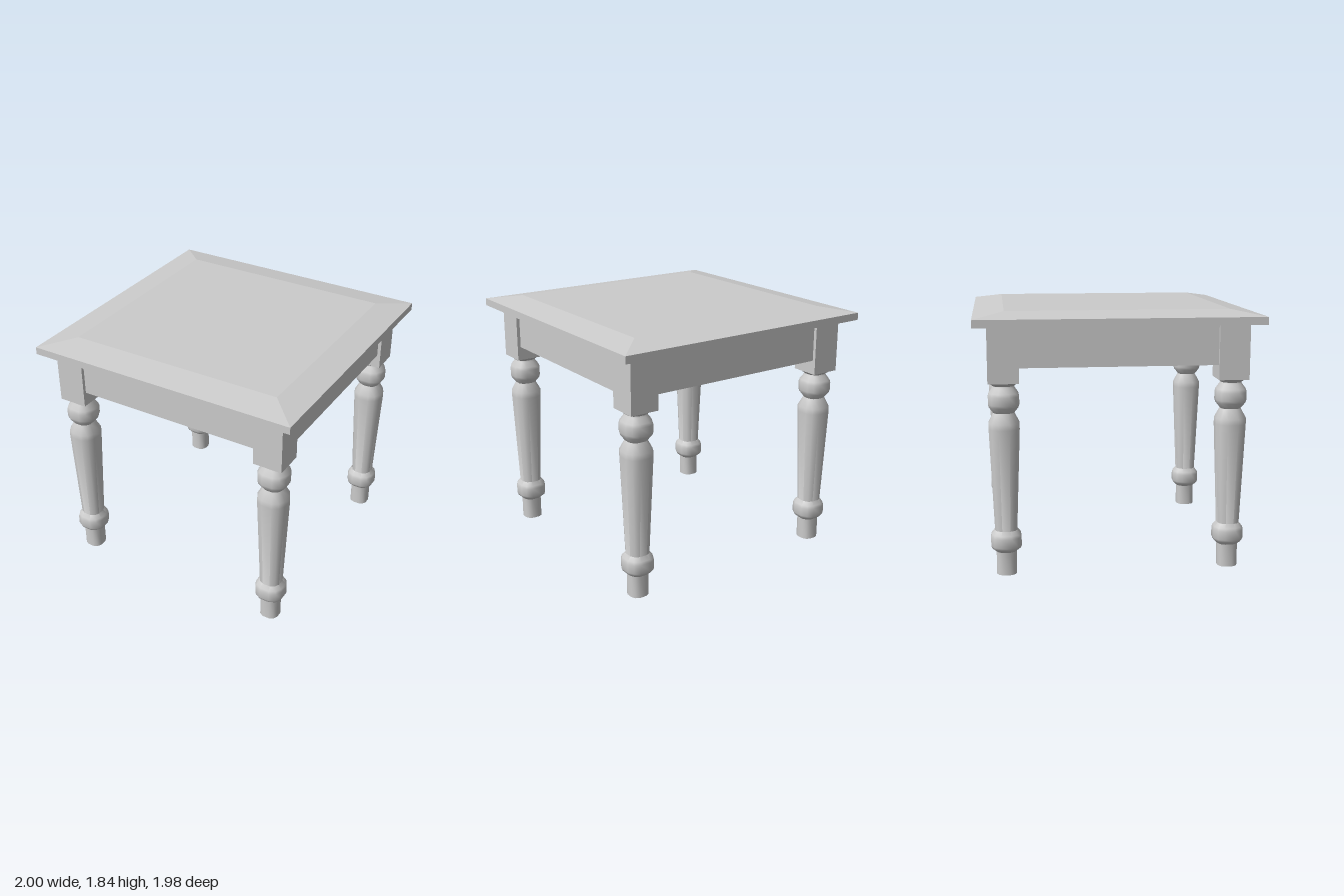
import * as THREE from 'three';
import { toCreasedNormals } from 'three/addons/utils/BufferGeometryUtils.js';

const material = new THREE.MeshStandardMaterial({ color: 0xcccccc });
const openMaterial = new THREE.MeshStandardMaterial({ color: 0xcccccc, side: THREE.DoubleSide });

const LEG_X = 0.796, LEG_Z = 0.789, BLOCK = 0.212;
const BLOCK_BOTTOM = 1.36, APRON_BOTTOM = 1.462, SLAB_BOTTOM = 1.747, SLAB_TOP = 1.8, TOP = 1.838;

function box(name, w, h, d, x, y, z) {
  const mesh = new THREE.Mesh(new THREE.BoxGeometry(w, h, d), material);
  mesh.name = name;
  mesh.position.set(x, y, z);
  return mesh;
}

// Box whose top face is drawn in, giving a sloped border
function bevelTop() {
  const geo = new THREE.BoxGeometry(2, TOP - SLAB_TOP, 1.98).toNonIndexed();
  const p = geo.attributes.position;
  for (let i = 0; i < p.count; i++) {
    if (p.getY(i) > 0) p.setXYZ(i, Math.sign(p.getX(i)) * 0.79, p.getY(i), Math.sign(p.getZ(i)) * 0.775);
  }
  geo.computeVertexNormals();
  const mesh = new THREE.Mesh(geo, material);
  mesh.name = 'bevelledTop';
  mesh.position.y = (TOP + SLAB_TOP) / 2;
  return mesh;
}

// Leg profile as [half width, height], foot upwards
const profile = [
  [0.07, 0], [0.07, 0.165],
  [0.099, 0.19], [0.106, 0.208], [0.106, 0.27], [0.1, 0.292], [0.077, 0.32],
  [0.106, 1.04], [0.105, 1.08], [0.07, 1.15],
  [0.1, 1.19], [0.106, 1.21], [0.106, 1.265], [0.1, 1.287], [0.074, 1.325], [0.07, 1.335],
  [0.104, BLOCK_BOTTOM],
].map(([r, y]) => new THREE.Vector2(r, y));

// Turned with a twelve-sided, slightly squared section
function turnedGeometry() {
  const section = [];
  let quarter = [[0.36, 1], [0.78, 0.78], [1, 0.36]];
  for (let q = 0; q < 4; q++) {
    section.push(...quarter);
    quarter = quarter.map(([x, z]) => [z, -x]);
  }
  const geo = new THREE.LatheGeometry(profile, 12);
  const p = geo.attributes.position;
  for (let i = 0; i < p.count; i++) {
    const { x: r, y } = profile[i % profile.length];
    const [sx, sz] = section[Math.floor(i / profile.length) % 12];
    p.setXYZ(i, r * sx, y, r * sz);
  }
  return toCreasedNormals(geo, 0.75);
}

function leg(geometry, x, z) {
  const group = new THREE.Group();
  group.name = 'leg';
  const turned = new THREE.Mesh(geometry, openMaterial);
  turned.name = 'turnedLeg';
  const h = SLAB_BOTTOM - BLOCK_BOTTOM;
  group.add(turned, box('legBlock', BLOCK, h, BLOCK, 0, BLOCK_BOTTOM + h / 2, 0));
  group.position.set(x, 0, z);
  return group;
}

export function createModel() {
  const model = new THREE.Group();
  model.name = 'sideTable';

  // Table top
  const slabHeight = SLAB_TOP - SLAB_BOTTOM;
  model.add(box('topSlab', 2, slabHeight, 1.98, 0, SLAB_BOTTOM + slabHeight / 2, 0), bevelTop());

  // Legs
  const geometry = turnedGeometry();
  for (const sx of [-1, 1]) for (const sz of [-1, 1]) model.add(leg(geometry, sx * LEG_X, sz * LEG_Z));

  // Aprons, set back slightly from the outer faces of the blocks
  const h = SLAB_BOTTOM - APRON_BOTTOM, y = APRON_BOTTOM + h / 2, t = 0.09;
  const offset = BLOCK / 2 - 0.025 - t / 2;
  for (const s of [-1, 1]) {
    model.add(box(s > 0 ? 'frontApron' : 'backApron', 2 * LEG_X - BLOCK, h, t, 0, y, s * (LEG_Z + offset)));
    model.add(box(s > 0 ? 'leftApron' : 'rightApron', t, h, 2 * LEG_Z - BLOCK, s * (LEG_X + offset), y, 0));
  }
  return model;
}
